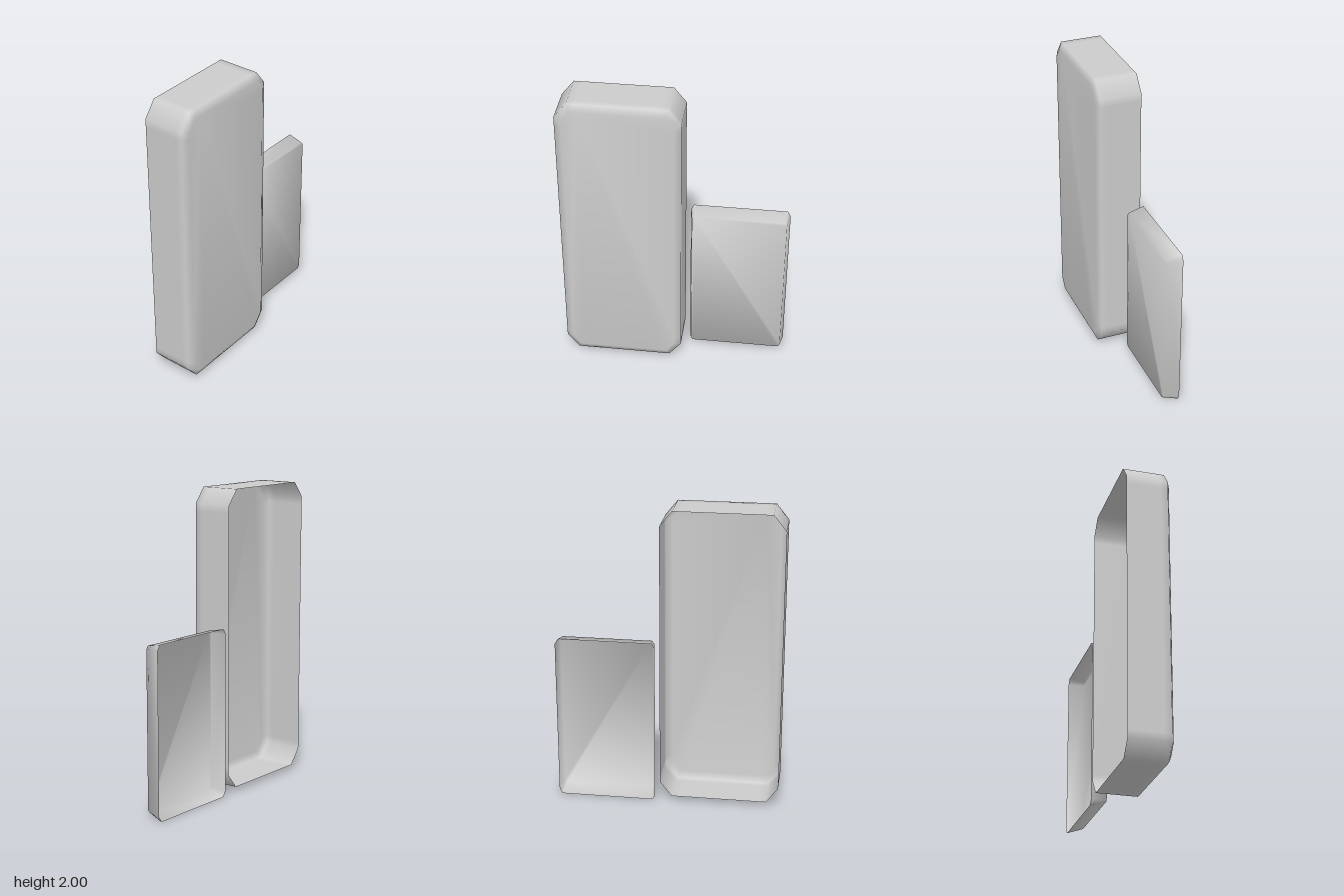
import * as THREE from 'three';

// Rectangle with cut corners in the z-y plane, anticlockwise seen from +x,
// starting at the upper front corner. hold > 0 adds points beside the corners.
function outline({ z0, z1, y0, y1, cz, cy, hold }) {
  const h = hold || 0;
  const corners = [[z1, y1, 1, 1], [z1, y0, 1, -1], [z0, y0, -1, -1], [z0, y1, -1, 1]];
  const pts = [];
  corners.forEach(([z, y, sz, sy], i) => {
    const side = [[z, y - sy * cy]], end = [[z - sz * cz, y]];
    if (h) {
      side.push([z, y - sy * (cy + h)]);
      end.push([z - sz * (cz + h), y]);
    }
    // alternate corners are met from the horizontal or the vertical edge
    pts.push(...(i % 2 === 0 ? [...end.reverse(), ...side] : [...side.reverse(), ...end]));
  });
  return pts;
}

// Hollow tray open towards -x: rings joined by walls and closed by the last ring.
// tilt is how far the smooth normal of a ring leans towards +x.
function tray(name, rings) {
  const pos = [], nor = [], idx = [];
  let n = 0;
  rings.forEach((ring) => {
    const pts = outline(ring);
    n = pts.length;
    const edgeNormal = (k) => {
      const a = pts[(k + n) % n], b = pts[(k + 1) % n];
      return new THREE.Vector2(a[1] - b[1], b[0] - a[0]).normalize();
    };
    pts.forEach(([z, y], k) => {
      const e = edgeNormal(k).add(edgeNormal(k - 1)).normalize();
      const v = new THREE.Vector3(ring.tilt, e.y, e.x).normalize();
      pos.push(ring.x, y, z);
      nor.push(v.x, v.y, v.z);
    });
  });
  for (let r = 0; r < rings.length - 1; r++) {
    for (let k = 0; k < n; k++) {
      const a = r * n + k, b = r * n + (k + 1) % n;
      idx.push(a, b, b + n, a, b + n, a + n);
    }
  }
  const last = (rings.length - 1) * n;
  for (let k = 1; k < n - 1; k++) idx.push(last, last + k, last + k + 1);

  const geo = new THREE.BufferGeometry();
  geo.setAttribute('position', new THREE.Float32BufferAttribute(pos, 3));
  geo.setAttribute('normal', new THREE.Float32BufferAttribute(nor, 3));
  geo.setIndex(idx);
  const mesh = new THREE.Mesh(geo, new THREE.MeshStandardMaterial({ color: 0xcccccc, side: THREE.DoubleSide }));
  mesh.name = name;
  return mesh;
}

export function createModel() {
  const group = new THREE.Group();
  group.name = 'trayPair';

  // Tall deep shell with a softly bevelled face
  const big = { z0: -0.05, z1: 0.735, y0: 0.035, y1: 2, cz: 0.08, cy: 0.1, hold: 0.05 };
  const bigFace = { z0: -0.005, z1: 0.69, y0: 0.08, y1: 1.955, cz: 0.055, cy: 0.07, hold: 0.04 };
  group.add(tray('tallShell', [
    { ...big, x: -0.15, tilt: 0 },
    { ...big, x: 0.075, tilt: 0 },
    { ...big, x: 0.122, tilt: 0.6 },
    { ...bigFace, x: 0.143, tilt: 8 },
  ]));

  // Short shallow shell with tapered walls
  group.add(tray('shortShell', [
    { z0: -0.735, z1: -0.082, y0: 0, y1: 1.12, cz: 0.02, cy: 0.035, x: -0.15, tilt: 0.2 },
    { z0: -0.718, z1: -0.1, y0: 0.035, y1: 1.1, cz: 0.015, cy: 0.02, x: -0.043, tilt: 1.6 },
  ]));
  return group;
}
